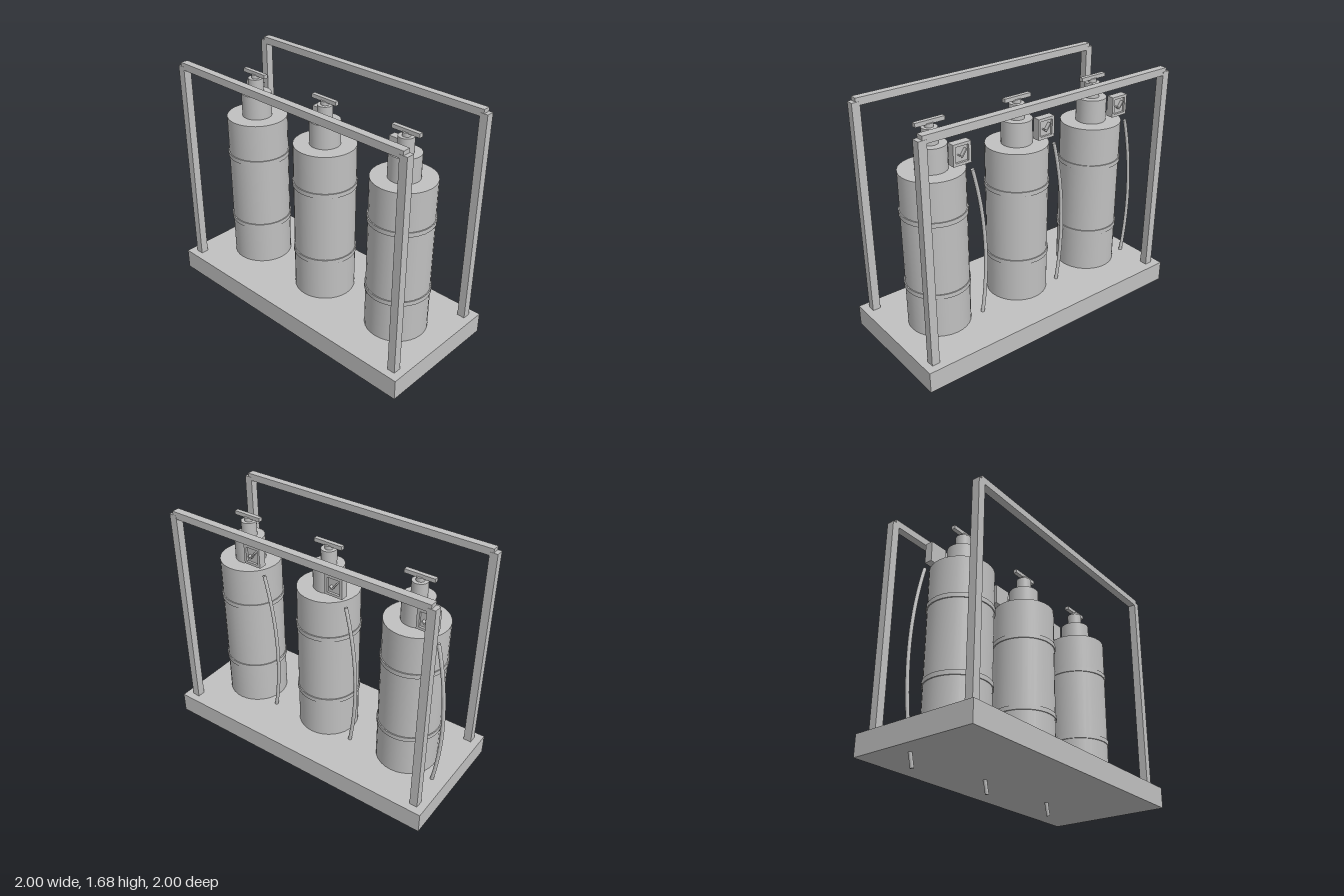
import * as THREE from 'three';

export function createModel() {
  const grey = new THREE.MeshStandardMaterial({ color: 0xc0c0c0 });
  grey.name = 'plain grey';

  const add = (parent, name, geometry, x = 0, y = 0, z = 0) => {
    const mesh = new THREE.Mesh(geometry, grey);
    mesh.name = name;
    mesh.position.set(x, y, z);
    parent.add(mesh);
    return mesh;
  };
  const box = (w, h, d) => new THREE.BoxGeometry(w, h, d);
  // upright cylinder spanning y0..y1
  const drum = (parent, name, r, y0, y1) =>
    add(parent, name, new THREE.CylinderGeometry(r, r, y1 - y0, 32), 0, (y0 + y1) / 2, 0);

  // square dial with a raised rim and a tick on its face
  function makeDial() {
    const dial = new THREE.Group();
    dial.name = 'dial';
    const w = 0.126, h = 0.138, rim = 0.018;
    add(dial, 'dialBack', box(w, h, 0.038), 0, 0, 0.007);
    for (const s of [-1, 1]) {
      add(dial, 'dialRimSide', box(rim, h, 0.015), s * (w - rim) / 2, 0, -0.0195);
      add(dial, 'dialRimEnd', box(w - 2 * rim, rim, 0.015), 0, s * (h - rim) / 2, -0.0195);
    }
    const stroke = (x0, y0, x1, y1) => {
      const bar = add(dial, 'dialTick', box(Math.hypot(x1 - x0, y1 - y0) + 0.006, 0.008, 0.024),
        (x0 + x1) / 2, (y0 + y1) / 2, -0.024);
      bar.rotation.z = Math.atan2(y1 - y0, x1 - x0);
    };
    stroke(0.007, -0.016, -0.024, 0.027);
    stroke(0.007, -0.016, 0.022, -0.003);
    dial.position.set(-0.129, 1.386, -0.109);
    return dial;
  }

  // bowed hose running down through the base
  function makeHose() {
    const path = new THREE.QuadraticBezierCurve3(
      new THREE.Vector3(-0.208, 1.26, -0.117),
      new THREE.Vector3(-0.375, 0.63, -0.117),
      new THREE.Vector3(-0.208, 0, -0.117));
    const section = new THREE.Shape().absarc(0, 0, 0.012, 0, Math.PI * 2);
    return new THREE.ExtrudeGeometry(section, { steps: 24, curveSegments: 6, extrudePath: path });
  }

  function makeTank() {
    const tank = new THREE.Group();
    tank.name = 'tank';
    drum(tank, 'tankBody', 0.203, 0.22, 1.285);
    for (const y of [0.52, 1.015]) drum(tank, 'tankHoop', 0.21, y - 0.015, y + 0.015);
    drum(tank, 'neck', 0.1, 1.28, 1.445);
    drum(tank, 'valve', 0.05, 1.44, 1.545);
    drum(tank, 'valveStem', 0.027, 1.54, 1.57);
    add(tank, 'handle', box(0.2, 0.026, 0.028), 0, 1.577, 0);
    tank.add(makeDial());
    add(tank, 'hose', makeHose());
    return tank;
  }

  const rack = new THREE.Group();
  rack.name = 'tankRack';
  add(rack, 'base', box(1.966, 0.14, 0.863), 0, 0.155, 0);

  // two goalpost frames along the long sides
  for (const side of [-1, 1]) {
    const frame = new THREE.Group();
    frame.name = 'frame';
    for (const end of [-1, 1])
      add(frame, 'post', box(0.053, 1.433, 0.053), end * 0.907, 0.9385, 0);
    add(frame, 'topRail', box(1.814, 0.048, 0.05), 0, 1.656, 0);
    frame.position.z = side * 0.355;
    rack.add(frame);
  }

  for (const x of [-0.631, 0, 0.631]) {
    const tank = makeTank();
    tank.position.x = x;
    rack.add(tank);
  }

  // the whole rack stands diagonally
  rack.rotation.y = -Math.PI / 4;
  const model = new THREE.Group();
  model.name = 'model';
  model.add(rack);
  return model;
}
